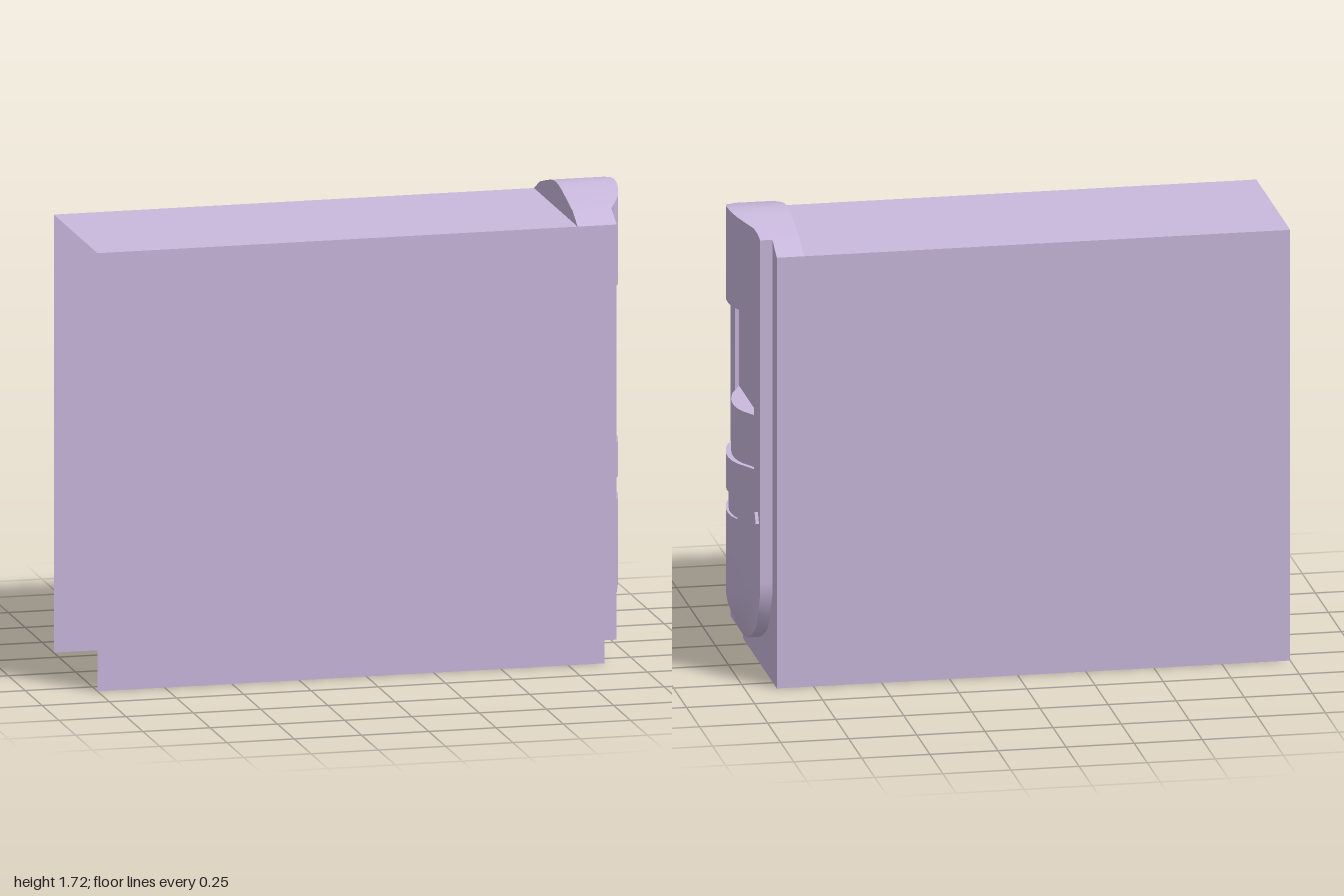
import * as THREE from 'three';
import { toCreasedNormals } from 'three/addons/utils/BufferGeometryUtils.js';

const material = new THREE.MeshStandardMaterial({ color: 0xc9b8dc, side: THREE.DoubleSide });

// Fascia columns: [z, x of the bulge, bottom y, top y]
const COLUMNS = [
  [0.325, 0.93, 0.085, 1.62], [0.245, 0.93, 0.085, 1.663], [0.2, 0.955, 0.085, 1.674],
  [0.16, 0.975, 0.085, 1.685], [0.12, 0.987, 0.085, 1.695], [0.08, 0.995, 0.085, 1.705],
  [0.04, 1, 0.09, 1.712], [0, 1, 0.1, 1.715], [-0.04, 0.995, 0.115, 1.712],
  [-0.08, 0.982, 0.135, 1.705], [-0.12, 0.96, 0.155, 1.695], [-0.16, 0.938, 0.185, 1.685],
  [-0.2, 0.931, 0.245, 1.674], [-0.24, 0.93, 0.33, 1.663],
];
// Rounded foot of the bulge: [height above the bottom edge, share of the bulge]
const FOOT = [[0, 0], [0.045, 0.36], [0.085, 0.64], [0.12, 0.86], [0.165, 1]];
const LEVELS = [0.57, 0.65, 0.78, 0.975, 1.36]; // edges of the slot, flap and window
const END = 0.885, BASE = 0.93, FLOOR = 0.915, HALF = 0.325, ROOF = 1.62;

function quadMesh(name, quads) {
  const positions = [];
  for (const [a, b, c, d] of quads) positions.push(...a, ...b, ...c, ...a, ...c, ...d);
  const geometry = new THREE.BufferGeometry();
  geometry.setAttribute('position', new THREE.Float32BufferAttribute(positions, 3));
  const mesh = new THREE.Mesh(toCreasedNormals(geometry, 0.7), material);
  mesh.name = name;
  return mesh;
}

// Case open at the bottom and at the far end
function createCase() {
  const p = (x, y, s) => [x, y, s * HALF];
  return quadMesh('openCase', [
    [p(-1, 0, 1), p(END, 0, 1), p(END, ROOF, 1), p(-1, ROOF, 1)],
    [p(END, 0, -1), p(-1, 0, -1), p(-1, ROOF, -1), p(END, ROOF, -1)],
    [p(-1, ROOF, 1), p(END, ROOF, 1), p(END, ROOF, -1), p(-1, ROOF, -1)],
    [p(END, 0, 1), p(END, 0, -1), p(END, ROOF, -1), p(END, ROOF, 1)],
  ]);
}

// Bulged fascia made of cells; sunken cells get walls towards their neighbours
function createFascia() {
  const rows = FOOT.length + LEVELS.length;
  const quads = [];
  const rowY = (c, r) => r < FOOT.length ? COLUMNS[c][2] + FOOT[r][0]
    : r < rows ? LEVELS[r - FOOT.length] : COLUMNS[c][3];
  const surface = (c, r) => BASE + (COLUMNS[c][1] - BASE) * (r < FOOT.length ? FOOT[r][1] : 1);
  const kind = (c, r) => {
    const z = (COLUMNS[c][0] + COLUMNS[c + 1][0]) / 2, level = r - FOOT.length;
    if (z > 0.245 || z < -0.16) return 'skin';
    if (level === 0 && z > -0.08) return 'slot';
    return level === 2 ? 'flap' : level === 3 ? 'window' : 'skin';
  };
  const point = (c, r, type) => {
    const sunk = { skin: 0, slot: 0.01, flap: 0.02 }[type];
    return [type === 'window' ? FLOOR : surface(c, r) - sunk, rowY(c, r), COLUMNS[c][0]];
  };
  const wall = (a, b, type1, type2) => {
    if (type1 !== type2) {
      quads.push([point(...a, type1), point(...b, type1), point(...b, type2), point(...a, type2)]);
    }
  };
  for (let c = 0; c < COLUMNS.length - 1; c++) {
    for (let r = 0; r < rows; r++) {
      const type = kind(c, r);
      quads.push([point(c, r, type), point(c + 1, r, type), point(c + 1, r + 1, type), point(c, r + 1, type)]);
      if (r > 0) wall([c, r], [c + 1, r], type, kind(c, r - 1));
      if (c > 0) wall([c, r], [c, r + 1], type, kind(c - 1, r));
    }
    // Underside rim
    const a = point(c, 0, 'skin'), b = point(c + 1, 0, 'skin');
    quads.push([[END, a[1], a[2]], [END, b[1], b[2]], b, a]);
  }
  // Side walls back to the case
  for (const c of [0, COLUMNS.length - 1]) {
    for (let r = 0; r < rows; r++) {
      const a = point(c, r, 'skin'), b = point(c, r + 1, 'skin');
      const side = [[END, a[1], a[2]], a, b, [END, b[1], b[2]]];
      quads.push(c ? side.reverse() : side);
    }
  }
  return quadMesh('fascia', quads);
}

// Arched cap across the top, reaching forward to the fascia edge
function createCap() {
  const START = 0.785;
  const arch = [...COLUMNS, [-HALF, END, 0, ROOF]];
  const quads = [];
  for (let i = 0; i < arch.length - 1; i++) {
    const [z1, x1, , y1] = arch[i], [z2, x2, , y2] = arch[i + 1];
    const last = i === arch.length - 2;
    const front1 = last ? END : x1, front2 = last ? END : x2;
    quads.push([[START, y1, z1], [front1, y1, z1], [front2, y2, z2], [START, y2, z2]]);
    quads.push([[START, ROOF, z1], [START, y1, z1], [START, y2, z2], [START, ROOF, z2]]);
    if (last) quads.push([[END, ROOF, z1], [END, ROOF, z2], [END, y2, z2], [END, y1, z1]]);
  }
  return quadMesh('archedCap', quads);
}

// Small raised triangular button
function createButton() {
  const geometry = new THREE.CylinderGeometry(0.026, 0.026, 0.024, 3);
  geometry.rotateY(-Math.PI / 2).rotateZ(-Math.PI / 2);
  const mesh = new THREE.Mesh(toCreasedNormals(geometry, 0.5), material);
  mesh.position.set(0.931, 0.604, -0.2);
  mesh.name = 'triangleButton';
  return mesh;
}

export function createModel() {
  const model = new THREE.Group();
  model.name = 'caseWithFascia';
  model.add(createCase(), createFascia(), createCap(), createButton());
  return model;
}
